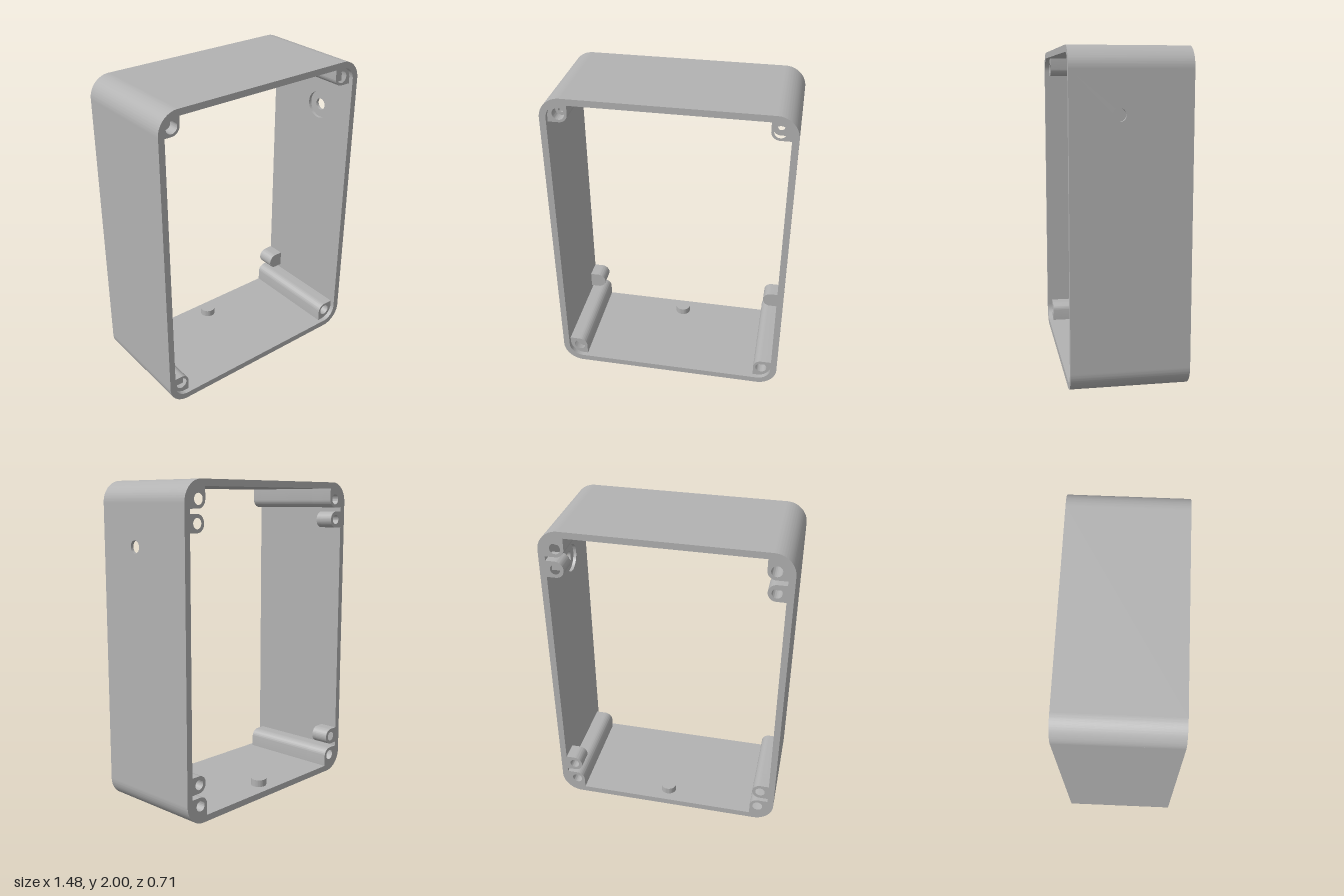
import * as THREE from 'three';
import { toCreasedNormals } from 'three/addons/utils/BufferGeometryUtils.js';

const W = 0.74, H = 1, D = 0.355; // half sizes of the frame
const R = 0.13, T = 0.04;         // corner radius and wall thickness
const SEG = 16;

// Prism from an outline with round holes [x, y, radius], between two depths
function prism(points, from, to, holes = []) {
  const shape = new THREE.Shape(points);
  for (const [x, y, r] of holes) {
    const hole = new THREE.Path();
    hole.absarc(x, y, r, 0, Math.PI * 2, true);
    shape.holes.push(new THREE.Path(hole.getPoints(32).slice(0, -1)));
  }
  const geo = new THREE.ExtrudeGeometry(shape, { depth: to - from, bevelEnabled: false });
  geo.translate(0, 0, from);
  return toCreasedNormals(geo, 0.6);
}

const rect = (x, y) => [[-x, -y], [x, -y], [x, y], [-x, y]].map(p => new THREE.Vector2(...p));
const mirror = (points, sx, sy) => points.map(p => new THREE.Vector2(p.x * sx, p.y * sy));

// Quarter ring of the wall at a corner
function cornerOutline() {
  const s = new THREE.Shape();
  s.absarc(W - R, H - R, R, 0, Math.PI / 2, false);
  s.absarc(W - R, H - R, R - T, Math.PI / 2, 0, true);
  return s.getPoints(SEG);
}

// Screw post, joined to the inside of the corner
const POST = { x: 0.635, y: 0.89, r: 0.053 };
function postOutline() {
  const s = new THREE.Shape();
  s.moveTo(W - T, POST.y - POST.r);
  s.lineTo(POST.x, POST.y - POST.r);
  s.absarc(POST.x, POST.y, POST.r, -Math.PI / 2, -Math.PI, true);
  s.lineTo(POST.x - POST.r, H - T);
  s.absarc(W - R, H - R, R - T, Math.PI / 2, 0, true);
  return s.getPoints(SEG);
}

// Short boss on the side wall, round on its inner side
const BOSS = { x: 0.645, y: 0.756, r: 0.053 };
function bossOutline() {
  const s = new THREE.Shape();
  s.moveTo(W - T, BOSS.y - BOSS.r);
  s.lineTo(BOSS.x, BOSS.y - BOSS.r);
  s.absarc(BOSS.x, BOSS.y, BOSS.r, -Math.PI / 2, -Math.PI * 1.5, true);
  s.lineTo(W - T, BOSS.y + BOSS.r);
  return s.getPoints(SEG);
}

export function createModel() {
  const model = new THREE.Group();
  model.name = 'enclosureFrame';
  const grey = new THREE.MeshStandardMaterial({ color: 0xb2b2b2 });
  grey.name = 'grey';

  const add = (name, geo) => {
    const mesh = new THREE.Mesh(geo, grey);
    mesh.name = name;
    mesh.position.y = H;
    model.add(mesh);
  };
  const alongX = geo => geo.rotateY(Math.PI / 2);  // outline x becomes -z
  const alongY = geo => geo.rotateX(-Math.PI / 2); // outline y becomes -z

  // Side walls; the left one has a hole with a wide recess inside
  const side = rect(D, H - R), flat = rect(W - R, D);
  add('rightWall', alongX(prism(side, -W, -W + T)));
  add('leftWallInner', alongX(prism(side, W - T, W - T / 2, [[-0.07, 0.615, 0.088]])));
  add('leftWallOuter', alongX(prism(side, W - T / 2, W, [[-0.07, 0.615, 0.038]])));

  // Top and bottom walls; the bottom one has a hole under the peg
  const pegZ = -0.25, pegHole = [0, -pegZ, 0.02];
  add('topWall', alongY(prism(flat, H - T, H)));
  add('bottomWall', alongY(prism(flat, -H, -H + T, [pegHole])));
  const disc = new THREE.Path().absarc(0, -pegZ, 0.05, 0, Math.PI * 2, false).getPoints(32).slice(0, -1);
  add('pegBase', alongY(prism(disc, -H + T, -0.935, [pegHole])));
  add('pegCap', alongY(prism(disc, -0.935, -0.915)));

  // Corners with their screw posts and bosses
  for (const sx of [-1, 1]) for (const sy of [-1, 1]) {
    add('corner', prism(mirror(cornerOutline(), sx, sy), -D, D));

    const post = mirror(postOutline(), sx, sy);
    const bore = r => [[POST.x * sx, POST.y * sy, r]];
    add('postBack', prism(post, -D, -0.2, bore(0.033)));
    add('postMiddle', prism(post, -0.2, 0.26, bore(0.02)));
    add('postFront', prism(post, 0.26, 0.325, bore(0.037)));

    const boss = mirror(bossOutline(), sx, sy);
    add('bossBack', prism(boss, -D, -0.265, [[BOSS.x * sx, BOSS.y * sy, 0.031]]));
    add('bossFront', prism(boss, -0.265, -0.235));
  }
  return model;
}
